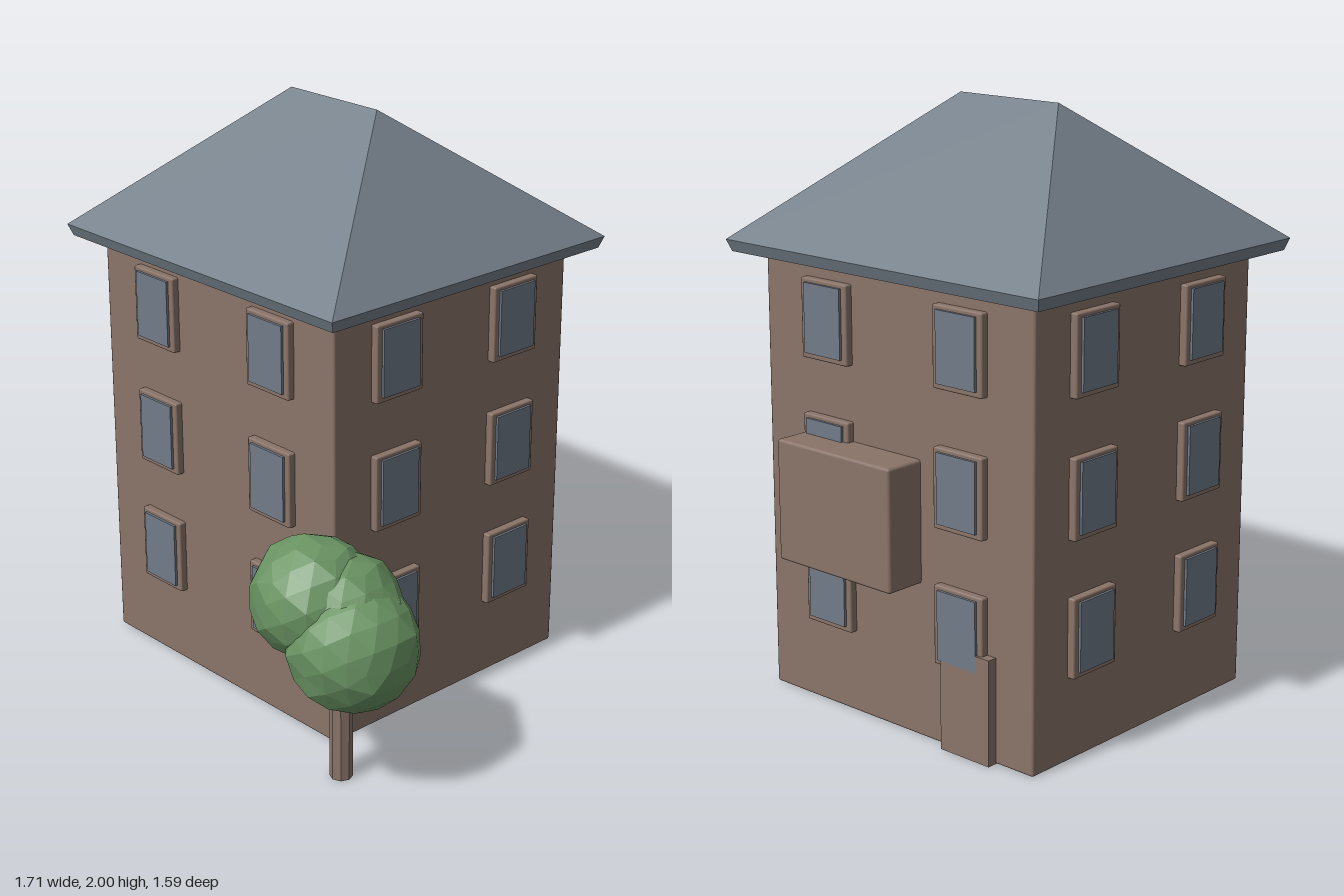
import * as THREE from 'three';
import { RoundedBoxGeometry } from 'three/addons/geometries/RoundedBoxGeometry.js';

const material = (name, color, flatShading = false) => {
  const m = new THREE.MeshStandardMaterial({ color, flatShading });
  m.name = name;
  return m;
};

function add(parent, name, geometry, mat, x = 0, y = 0, z = 0) {
  const mesh = new THREE.Mesh(geometry, mat);
  mesh.name = name;
  mesh.position.set(x, y, z);
  parent.add(mesh);
  return mesh;
}

// Hipped roof: bottom ring, wider eave ring, then a short ridge
function roofGeometry() {
  const ring = (hx, y, hz) => [[-hx, y, hz], [hx, y, hz], [hx, y, -hz], [-hx, y, -hz]];
  const p = [...ring(0.66, 1.5, 0.61), ...ring(0.673, 1.54, 0.625), [-0.21, 2, 0], [0.21, 2, 0]];
  const index = [0, 3, 2, 0, 2, 1];
  for (let i = 0; i < 4; i++) {
    const j = (i + 1) % 4;
    index.push(i, j, 4 + j, i, 4 + j, 4 + i);
  }
  index.push(4, 5, 9, 4, 9, 8, 5, 6, 9, 6, 7, 8, 6, 8, 9, 7, 4, 8);
  const g = new THREE.BufferGeometry();
  g.setAttribute('position', new THREE.Float32BufferAttribute(p.flat(), 3));
  g.setIndex(index);
  const flat = g.toNonIndexed();
  flat.computeVertexNormals();
  return flat;
}

// Faceted leaf clump; the bump depends on direction only, so seams stay closed
function clumpGeometry(radius, seed) {
  const g = new THREE.IcosahedronGeometry(1, 2);
  const pos = g.attributes.position;
  const v = new THREE.Vector3();
  for (let i = 0; i < pos.count; i++) {
    v.fromBufferAttribute(pos, i).normalize();
    const bump = Math.sin(v.x * 7.1 + seed) * Math.sin(v.y * 8.3 + seed * 2) + Math.sin(v.z * 9.7 + v.x * 5 + seed * 3);
    v.multiplyScalar(radius * (1 + 0.025 * bump));
    pos.setXYZ(i, v.x, v.y, v.z);
  }
  g.computeVertexNormals();
  return g;
}

export function createModel() {
  const wall = material('wall brown', 0x8a7469);
  const slate = material('roof slate', 0x75808a, true);
  const glass = material('window glass', 0x717b88);
  const bark = material('bark brown', 0x8a7469, true);
  const leaf = material('leaf green', 0x6a9463, true);

  const model = new THREE.Group();
  model.name = 'houseWithTree';

  // House, centred on its own axis
  const W = 1.16, D = 1.065;
  const house = new THREE.Group();
  house.name = 'house';
  house.position.set(-0.188, 0, -0.122);
  model.add(house);
  add(house, 'walls', new RoundedBoxGeometry(W, 1.51, D, 1, 0.008), wall, 0, 0.755, 0);
  add(house, 'roof', roofGeometry(), slate);

  // Windows: two columns and three floors on each of the four sides
  const frameGeo = new RoundedBoxGeometry(0.205, 0.265, 0.04, 1, 0.006);
  const glassGeo = new THREE.BoxGeometry(0.162, 0.232, 0.009);
  for (let side = 0; side < 4; side++) {
    const facade = new THREE.Group();
    facade.name = ['frontWindows', 'leftWindows', 'backWindows', 'rightWindows'][side];
    facade.rotation.y = side * Math.PI / 2;
    const reach = (side % 2 ? W : D) / 2;
    const offset = side % 2 ? 0.268 : 0.29;
    for (const x of [-offset, offset]) {
      for (let floor = 0; floor < 3; floor++) {
        const y = 0.413 + floor * 0.45;
        add(facade, 'windowFrame', frameGeo, wall, x, y, reach + 0.006);
        add(facade, 'windowPane', glassGeo, glass, x, y + 0.003, reach + 0.0305);
      }
    }
    house.add(facade);
  }

  // Balcony and door on the back
  add(house, 'balcony', new RoundedBoxGeometry(0.505, 0.41, 0.16, 1, 0.01), wall, 0.143, 0.725, -D / 2 - 0.063);
  add(house, 'door', new THREE.BoxGeometry(0.205, 0.355, 0.05), wall, -0.325, 0.1775, -D / 2 - 0.009);

  // Tree beside the front left corner
  const tree = new THREE.Group();
  tree.name = 'tree';
  model.add(tree);
  add(tree, 'trunk', new THREE.CylinderGeometry(0.038, 0.038, 0.5, 8), bark, 0.556, 0.25, 0.532);
  const clumps = [
    [0.49, 0.647, 0.59, 0.203],
    [0.575, 0.61, 0.54, 0.196],
    [0.637, 0.527, 0.558, 0.216],
  ];
  clumps.forEach(([x, y, z, r], i) => add(tree, 'leafClump', clumpGeometry(r, i * 1.7 + 1), leaf, x, y, z));

  return model;
}
